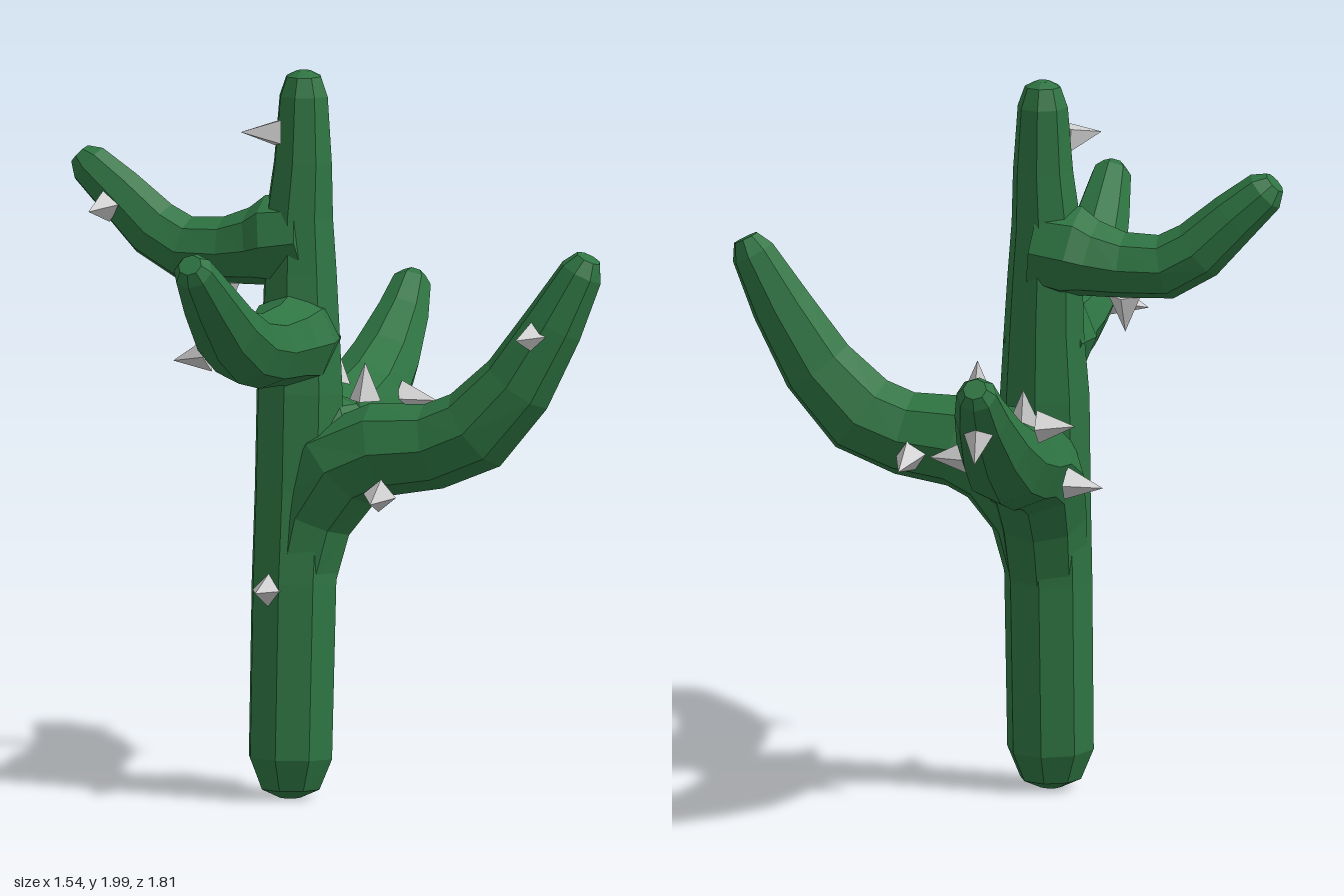
import * as THREE from 'three';

const SIDES = 8;
const green = new THREE.MeshStandardMaterial({ color: 0x2e7442, flatShading: true });
const grey = new THREE.MeshStandardMaterial({ color: 0xcccccc, flatShading: true });

// Capped octagonal limb through rings [x, y, z, radius]; `side` is normal to the bend plane
function limb(name, rings, side) {
  const centers = rings.map(([x, y, z]) => new THREE.Vector3(x, y, z));
  const positions = [], index = [];
  const last = rings.length - 1;
  centers.forEach((c, i) => {
    const tangent = centers[Math.min(i + 1, last)].clone().sub(centers[Math.max(i - 1, 0)]).normalize();
    const u = side.clone().addScaledVector(tangent, -side.dot(tangent)).normalize();
    const v = tangent.clone().cross(u);
    for (let k = 0; k < SIDES; k++) {
      const a = (k / SIDES) * Math.PI * 2;
      const p = c.clone()
        .addScaledVector(u, Math.cos(a) * rings[i][3])
        .addScaledVector(v, Math.sin(a) * rings[i][3]);
      positions.push(p.x, p.y, p.z);
      if (i < last) {
        const n = i * SIDES + k, m = i * SIDES + (k + 1) % SIDES;
        index.push(n, m, m + SIDES, n, m + SIDES, n + SIDES);
      }
    }
  });
  // End caps
  for (let k = 1; k < SIDES - 1; k++) {
    const e = last * SIDES;
    index.push(0, k + 1, k, e, e + k, e + k + 1);
  }
  const geometry = new THREE.BufferGeometry();
  geometry.setAttribute('position', new THREE.Float32BufferAttribute(positions, 3));
  geometry.setIndex(index);
  geometry.computeVertexNormals();
  const mesh = new THREE.Mesh(geometry, green);
  mesh.name = name;
  return mesh;
}

// Four-sided thorn with its base at `base`, pointing along `direction`
function thorn(base, direction) {
  const geometry = new THREE.ConeGeometry(0.046, 0.105, 4);
  geometry.translate(0, 0.045, 0);
  const mesh = new THREE.Mesh(geometry, grey);
  mesh.name = 'thorn';
  mesh.position.set(...base);
  mesh.quaternion.setFromUnitVectors(
    new THREE.Vector3(0, 1, 0), new THREE.Vector3(...direction).normalize());
  return mesh;
}

export function createModel() {
  const cactus = new THREE.Group();
  cactus.name = 'cactus';
  const X = new THREE.Vector3(1, 0, 0), Z = new THREE.Vector3(0, 0, 1);

  // Leaning trunk with rounded ends
  cactus.add(limb('trunk', [
    [-0.095, 0.01, 0.105, 0.03], [-0.095, 0.035, 0.105, 0.085], [-0.095, 0.12, 0.103, 0.121],
    [-0.095, 0.6, 0.075, 0.123], [-0.095, 0.85, 0.045, 0.125], [-0.095, 1.12, 0.03, 0.125],
    [-0.095, 1.3, 0.02, 0.112], [-0.1, 1.45, 0.01, 0.105], [-0.105, 1.6, 0.003, 0.097],
    [-0.097, 1.75, -0.002, 0.084], [-0.098, 1.93, -0.01, 0.07], [-0.098, 1.985, -0.01, 0.05],
    [-0.098, 2.0, -0.01, 0.02],
  ], X));

  // Low arms, growing out of the trunk to the left and back
  cactus.add(limb('leftArm', [
    [-0.09, 0.62, 0.07, 0.115], [-0.06, 0.78, 0.05, 0.125], [0.03, 0.92, 0.045, 0.138],
    [0.15, 0.975, 0.045, 0.13], [0.3, 0.99, 0.045, 0.118], [0.42, 1.04, 0.04, 0.12],
    [0.54, 1.17, 0.03, 0.105], [0.64, 1.34, 0.015, 0.085], [0.715, 1.485, 0, 0.062],
    [0.735, 1.525, 0, 0.036],
  ], Z));
  cactus.add(limb('backArm', [
    [-0.09, 0.6, 0.075, 0.115], [-0.09, 0.78, 0.02, 0.125], [-0.09, 0.92, -0.07, 0.135],
    [-0.09, 0.975, -0.2, 0.13], [-0.09, 0.99, -0.32, 0.124], [-0.09, 1.03, -0.47, 0.118],
    [-0.092, 1.11, -0.63, 0.1], [-0.095, 1.215, -0.78, 0.076], [-0.098, 1.295, -0.862, 0.056],
    [-0.098, 1.315, -0.885, 0.033],
  ], X));

  // Swelling that fills the corner between the low arms
  const swelling = new THREE.Mesh(new THREE.SphereGeometry(0.155, 8, 5), green);
  swelling.name = 'armJunction';
  swelling.position.set(-0.04, 0.96, -0.025);
  cactus.add(swelling);

  // High arms to the right and front
  cactus.add(limb('rightArm', [
    [-0.08, 1.54, 0, 0.12], [-0.18, 1.525, 0, 0.13], [-0.23, 1.51, 0, 0.108],
    [-0.32, 1.495, 0, 0.092], [-0.44, 1.495, 0, 0.09], [-0.53, 1.545, 0, 0.085],
    [-0.63, 1.64, 0.005, 0.073], [-0.715, 1.715, 0.01, 0.06], [-0.742, 1.74, 0.01, 0.034],
  ], Z));
  cactus.add(limb('frontArm', [
    [-0.095, 1.27, 0, 0.11], [-0.095, 1.27, 0.1, 0.13], [-0.095, 1.268, 0.18, 0.112],
    [-0.097, 1.272, 0.33, 0.103], [-0.098, 1.3, 0.47, 0.1], [-0.1, 1.37, 0.61, 0.093],
    [-0.1, 1.475, 0.75, 0.075], [-0.1, 1.565, 0.862, 0.055], [-0.1, 1.585, 0.885, 0.033],
  ], X));

  // Thorns: base point, direction
  const thorns = [
    [[-0.13, 0.59, 0.19], [0, 0.05, 1]],
    [[-0.155, 1.835, 0.06], [-0.8, 0.05, 0.55]],
    [[0.18, 0.86, 0.15], [0.1, -0.1, 1]],
    [[0.26, 0.95, -0.065], [0.15, -0.3, -1]],
    [[0.09, 1.11, 0.015], [0, 1, 0]],
    [[0.605, 1.31, 0.09], [-0.15, 0.05, 1]],
    [[-0.215, 0.925, -0.22], [-1, -0.1, 0]],
    [[-0.2, 1.14, -0.51], [-1, 0.05, 0]],
    [[0.02, 1.04, -0.48], [1, -0.05, 0]],
    [[-0.105, 1.1, -0.28], [0, 1, -0.15]],
    [[-0.095, 1.18, -0.82], [0, -0.8, -0.6]],
    [[-0.32, 1.4, 0.02], [0, -1, 0.1]],
    [[-0.645, 1.61, 0.07], [-0.15, -0.05, 1]],
    [[-0.18, 1.285, 0.54], [-1, -0.2, 0]],
  ];
  const thornGroup = new THREE.Group();
  thornGroup.name = 'thorns';
  thorns.forEach(([base, direction]) => thornGroup.add(thorn(base, direction)));
  cactus.add(thornGroup);

  return cactus;
}
